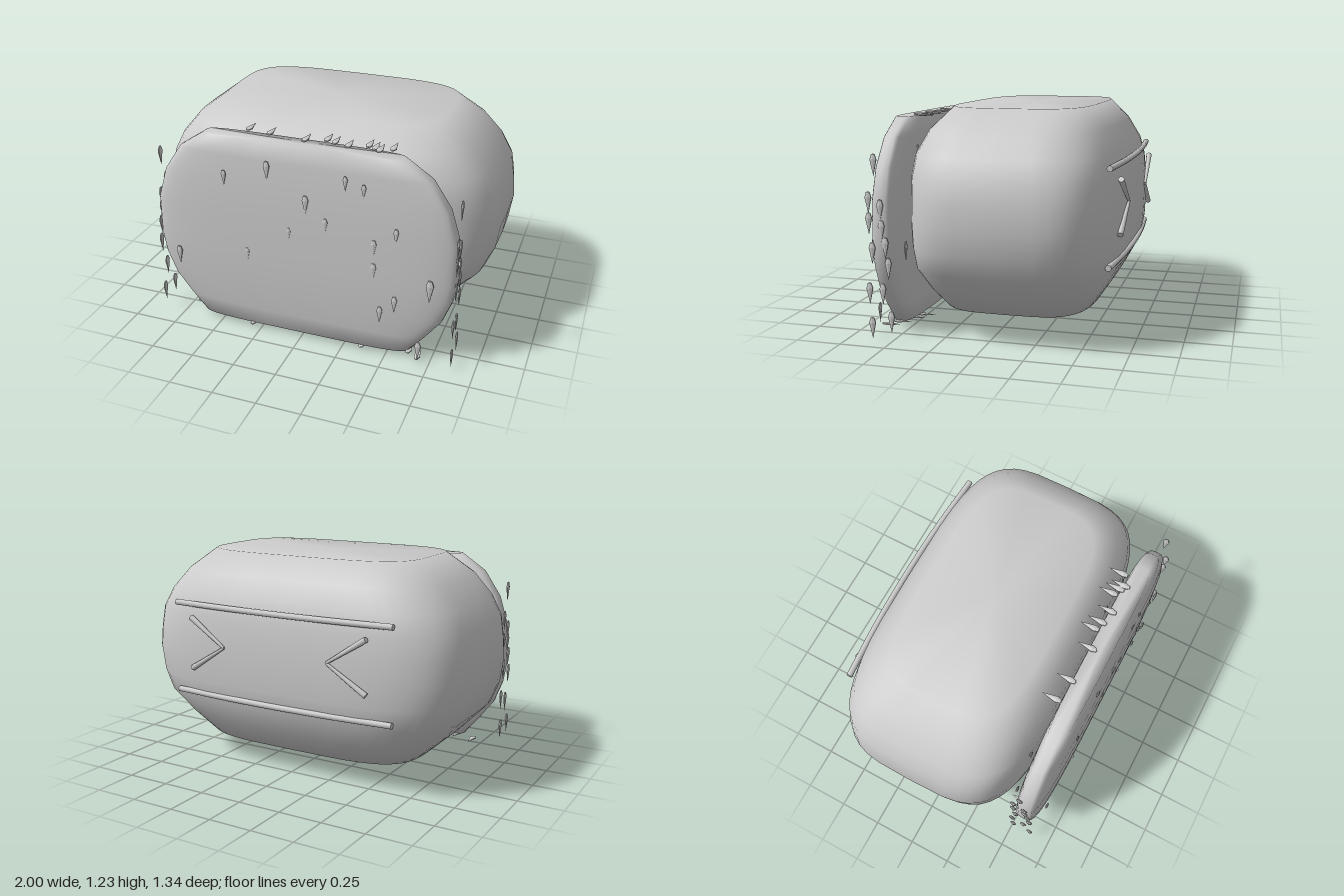
import * as THREE from 'three';

const grey = new THREE.MeshStandardMaterial({ color: 0xcccccc });
const flatGrey = new THREE.MeshStandardMaterial({ color: 0xcccccc, flatShading: true });

// Stacks rounded-rectangle rings [y, halfWidth, zBack, zFront] and caps both ends
function loft(rings, n = 4, seg = 48) {
  const pos = [], idx = [];
  const power = v => Math.sign(v) * Math.abs(v) ** (2 / n);
  for (const [y, w, zb, zf] of rings) {
    for (let i = 0; i < seg; i++) {
      const a = (i / seg) * Math.PI * 2;
      pos.push(w * power(Math.cos(a)), y, (zb + zf) / 2 + (zf - zb) / 2 * power(Math.sin(a)));
    }
  }
  for (let r = 0; r < rings.length - 1; r++) {
    for (let i = 0; i < seg; i++) {
      const a = r * seg + i, b = r * seg + (i + 1) % seg;
      idx.push(a, a + seg, b, b, a + seg, b + seg);
    }
  }
  const bottom = pos.length / 3, top = bottom + 1, last = (rings.length - 1) * seg;
  for (const [y, , zb, zf] of [rings[0], rings[rings.length - 1]]) pos.push(0, y, (zb + zf) / 2);
  for (let i = 0; i < seg; i++) {
    const j = (i + 1) % seg;
    idx.push(bottom, i, j, top, last + j, last + i);
  }
  const g = new THREE.BufferGeometry();
  g.setAttribute('position', new THREE.Float32BufferAttribute(pos, 3));
  g.setIndex(idx);
  g.computeVertexNormals();
  return g;
}

function add(parent, name, geometry, material = grey) {
  const mesh = new THREE.Mesh(geometry, material);
  mesh.name = name;
  parent.add(mesh);
  return mesh;
}

// Tapered rod between two points
function rod(parent, name, a, b, ra, rb) {
  const from = new THREE.Vector3(...a), to = new THREE.Vector3(...b);
  const dir = to.clone().sub(from);
  const mesh = add(parent, name, new THREE.CylinderGeometry(rb, ra, dir.length(), 8));
  mesh.position.copy(from).add(to).multiplyScalar(0.5);
  mesh.quaternion.setFromUnitVectors(new THREE.Vector3(0, 1, 0), dir.normalize());
}

export function createModel() {
  const model = new THREE.Group();

  // Plump rounded body with flat top and bottom
  add(model, 'body', loft([
    [0.14, 0.68, -0.49, 0.36], [0.26, 0.81, -0.57, 0.43], [0.39, 0.93, -0.64, 0.48],
    [0.51, 0.98, -0.655, 0.485], [0.65, 1.0, -0.66, 0.485], [0.77, 0.99, -0.655, 0.485],
    [0.89, 0.97, -0.645, 0.485], [1.0, 0.91, -0.62, 0.475], [1.12, 0.81, -0.555, 0.42],
    [1.24, 0.65, -0.45, 0.31],
  ]));

  // Cushion-like front panel
  add(model, 'frontPanel', loft([
    [0.04, 0.62, 0.5, 0.63], [0.15, 0.71, 0.49, 0.642], [0.27, 0.8, 0.483, 0.65],
    [0.4, 0.85, 0.478, 0.655], [0.52, 0.87, 0.476, 0.656], [0.75, 0.865, 0.478, 0.655],
    [0.93, 0.81, 0.484, 0.648], [1.08, 0.71, 0.492, 0.635], [1.18, 0.56, 0.502, 0.622],
  ]));

  // Two bowed rails across the back
  const backDetails = new THREE.Group();
  backDetails.name = 'backDetails';
  model.add(backDetails);
  for (const y of [0.95, 0.435]) {
    const points = [-0.69, -0.35, 0, 0.35, 0.69].map(x => new THREE.Vector3(x, y, -0.65 + 0.065 * x * x));
    const curve = new THREE.CatmullRomCurve3(points);
    add(backDetails, 'rail', new THREE.TubeGeometry(curve, 20, 0.017, 10));
    for (const i of [0, 4]) {
      const cap = add(backDetails, 'railEnd', new THREE.CylinderGeometry(0.017, 0.017, 0.006, 10));
      cap.position.copy(points[i]);
      cap.rotation.z = Math.PI / 2;
    }
  }

  // Chevrons between the rails, pointing to the middle
  for (const s of [-1, 1]) {
    for (const y of [0.88, 0.585]) {
      rod(backDetails, 'chevronArm', [s * 0.56, y, -0.657], [s * 0.33, 0.73, -0.666], 0.017, 0.008);
    }
  }

  // Flattened droplets scattered over the panel, tips pointing down or back
  const dropGeometry = new THREE.LatheGeometry(
    [[0, -0.085], [0.02, 0], [0.011, 0.026], [0, 0.03]].map(p => new THREE.Vector2(...p)), 6);
  dropGeometry.scale(1, 1, 0.4);
  const drops = new THREE.Group();
  drops.name = 'droplets';
  model.add(drops);
  function drop(x, y, z, rx, ry, s = 1) {
    const mesh = add(drops, 'droplet', dropGeometry, flatGrey);
    mesh.position.set(x, y, z);
    mesh.rotation.set(rx, ry, 0);
    mesh.scale.setScalar(s);
  }

  // Front face
  for (const [x, y, s] of [
    [-0.42, 0.98, 0.8], [-0.17, 1.06, 1], [0.05, 0.9, 1], [0.27, 1.05, 0.75], [0.37, 1.02, 0.75],
    [0.16, 0.79, 0.8], [0.55, 0.8, 0.8], [0.43, 0.71, 0.9], [0.43, 0.57, 0.9], [0.74, 0.52, 1.2],
    [0.55, 0.39, 0.9], [0.47, 0.31, 0.9], [-0.05, 0.7, 0.7], [-0.3, 0.53, 0.7], [-0.73, 0.45, 1],
    [0.69, 0.13, 1],
  ]) drop(x, y, y > 1 ? 0.648 : 0.656, 0, 0, s);

  // Rear face
  for (const [x, y] of [[-0.6, 0.9], [0.55, 1.0], [-0.75, 0.6], [0.75, 0.5], [0.3, 1.05], [-0.3, 1.06]]) {
    drop(x, y, 0.47, 0, 0);
  }

  // Right and left edges
  const edge = [
    [0.505, 0.81], [0.505, 0.67], [0.595, 0.57], [0.52, 0.51], [0.5, 0.32], [0.575, 0.29],
    [0.51, 0.13], [0.62, 0.14], [0.61, 0.46], [0.57, 0.74], [0.575, 0.66], [0.54, 0.98],
  ];
  edge.forEach(([z, y], i) => {
    drop(-0.87, y + 0.02, z, 0, Math.PI / 2, 1.05);
    drop(0.87, i % 2 ? y : y - 0.03, 1.13 - z, 0, Math.PI / 2, 1.05);
  });

  // Top and bottom edges
  [-0.34, -0.21, 0, 0.11, 0.16, 0.24, 0.34, 0.38, 0.41, 0.47].forEach((x, i) => {
    drop(x, 1.185, 0.475 + 0.02 * (i % 3), Math.PI / 2, 0);
  });
  [-0.7, -0.58, -0.43, -0.3, -0.1, 0.08, 0.22, 0.36, 0.46, 0.53, 0.62, 0.68].forEach((x, i) => {
    drop(x, 0.037, 0.5 + 0.04 * (i % 4), Math.PI / 2, 0);
  });

  return model;
}
